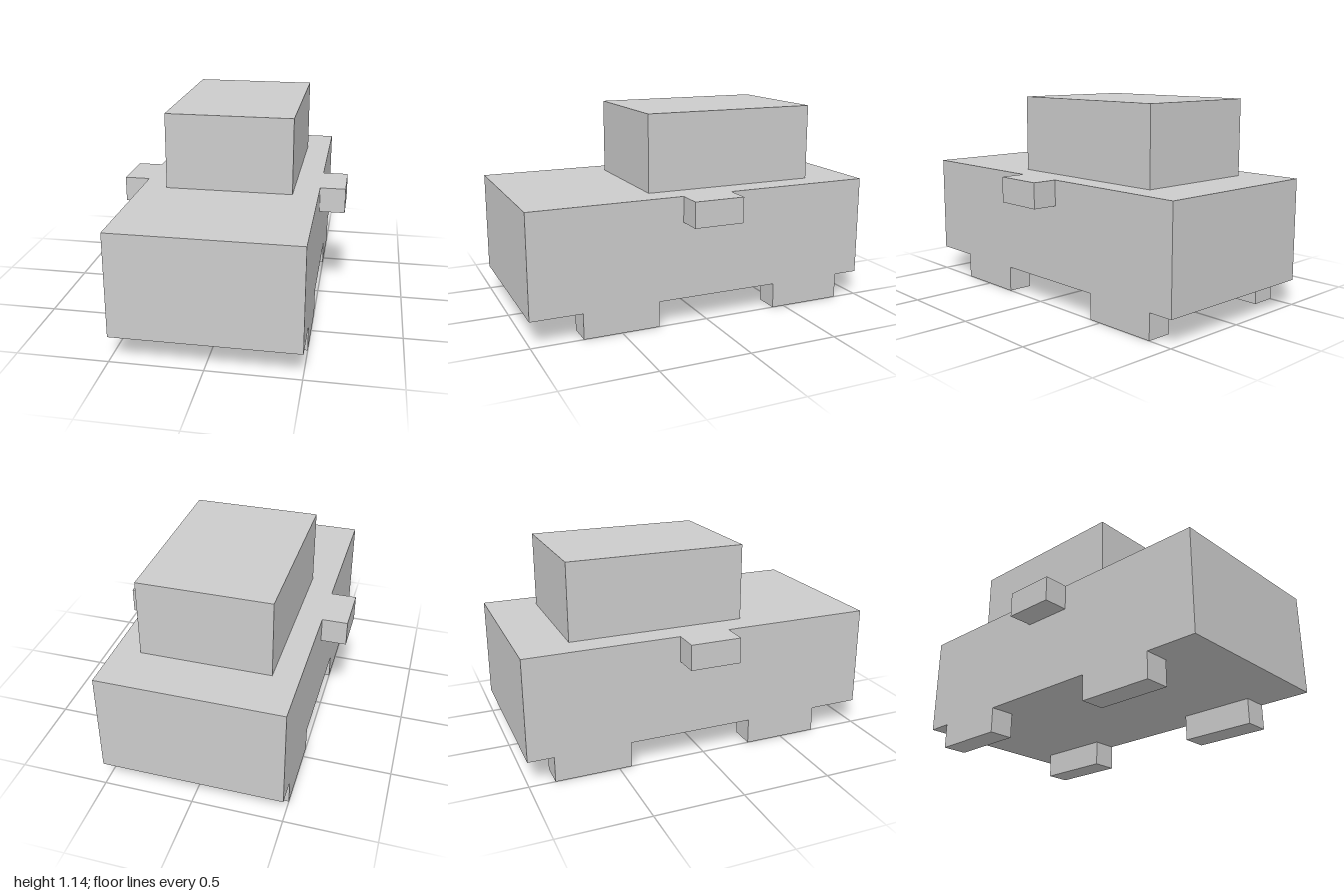
import * as THREE from 'three';

// The design sits on a grid of 1/14 unit
const U = 1 / 14;

export function createModel() {
  const model = new THREE.Group();
  const material = new THREE.MeshStandardMaterial({ color: 0xcccccc, flatShading: true });

  // Box from its [min, max] range on each axis, in grid steps
  function box(name, [x0, x1], [y0, y1], [z0, z1]) {
    const geometry = new THREE.BoxGeometry((x1 - x0) * U, (y1 - y0) * U, (z1 - z0) * U);
    const mesh = new THREE.Mesh(geometry, material);
    mesh.position.set((x0 + x1) / 2, (y0 + y1) / 2, (z0 + z1) / 2).multiplyScalar(U);
    mesh.name = name;
    model.add(mesh);
  }

  box('body', [-7, 7], [2, 10], [-14, 14]);
  box('cabin', [-5, 5], [10, 16], [-10, 4]);

  // Wheels and mirrors on both sides
  for (const [side, s] of [['left', 1], ['right', -1]]) {
    const span = (a, b) => (s > 0 ? [a, b] : [-b, -a]);
    box(`${side}FrontWheel`, span(5, 7), [0, 2], [4, 10]);
    box(`${side}BackWheel`, span(5, 7), [0, 2], [-12, -6]);
    box(`${side}Mirror`, span(7, 9), [8, 10], [-2, 2]);
  }

  return model;
}
